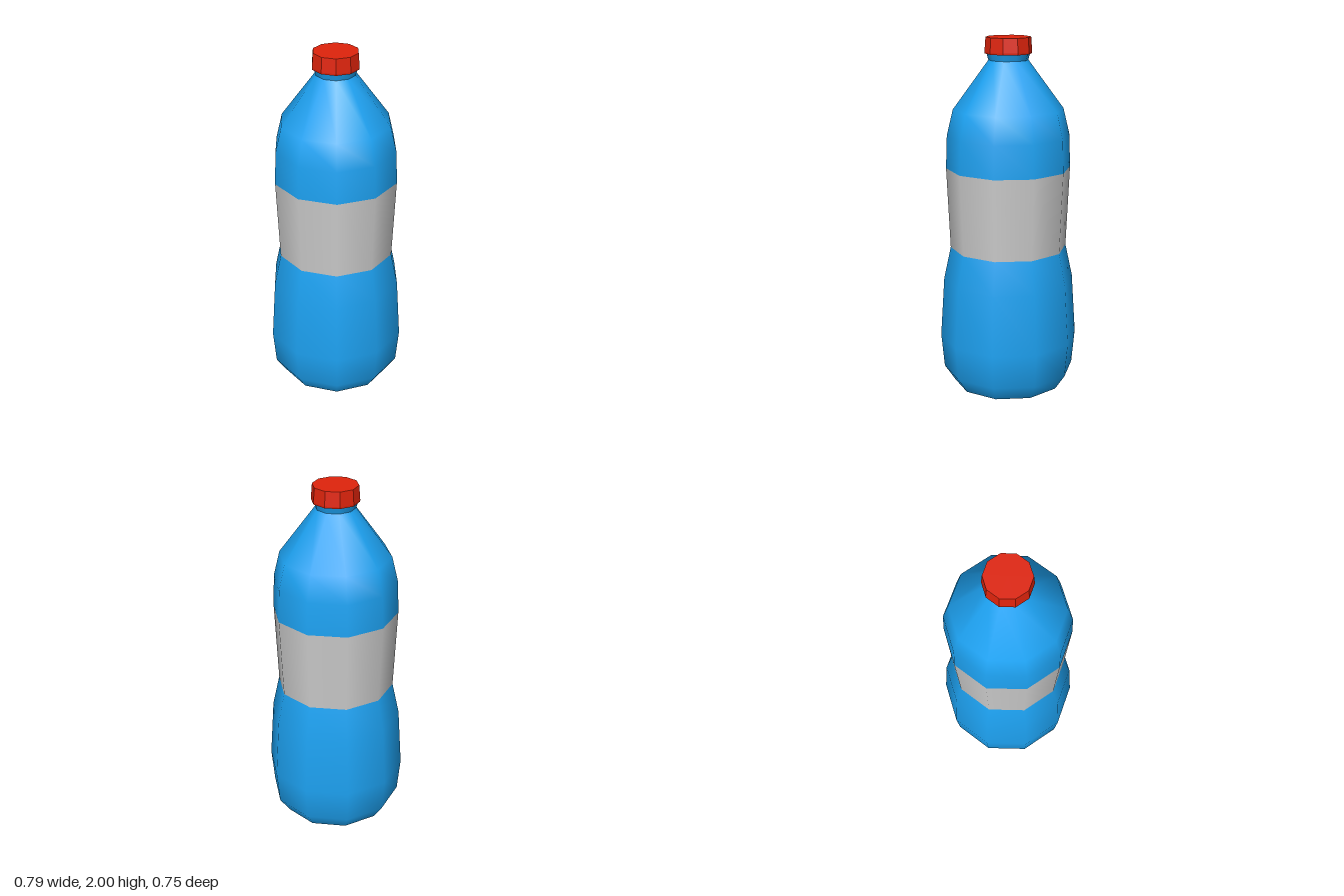
import * as THREE from 'three';

const SIDES = 10;

// Ten-sided turned part from [radius, height] pairs, listed from bottom to top
function turned(name, profile, color, flatShading = false) {
  const points = profile.map(([r, y]) => new THREE.Vector2(r, y));
  const geometry = new THREE.LatheGeometry(points, SIDES, Math.PI / 2);
  const mesh = new THREE.Mesh(geometry, new THREE.MeshStandardMaterial({ color, flatShading }));
  mesh.name = name;
  return mesh;
}

export function createModel() {
  const bottle = new THREE.Group();
  bottle.name = 'bottle';
  const blue = 0x1da2f2, red = 0xe0240c, grey = 0xcccccc;

  bottle.add(
    // Recessed underside
    turned('base', [[0, 0.03], [0.25, 0.03], [0.315, 0]], blue, true),
    // Bulging lower half up to the waist
    turned('lowerBody', [[0.315, 0], [0.375, 0.09], [0.393, 0.285], [0.37, 0.63], [0.33, 0.815]], blue),
    // Wrap-around label
    turned('label', [[0.33, 0.815], [0.35, 1.275]], grey),
    // Shoulder tapering into the neck
    turned('shoulder', [[0.35, 1.275], [0.343, 1.46], [0.308, 1.605], [0.11, 1.875]], blue),
    turned('neck', [[0.11, 1.875], [0.12, 1.912]], blue),
    // Screw cap, closed on top and underneath
    turned('cap', [[0, 1.91], [0.13, 1.91], [0.131, 1.92], [0.125, 2], [0, 2]], red, true),
  );
  return bottle;
}
